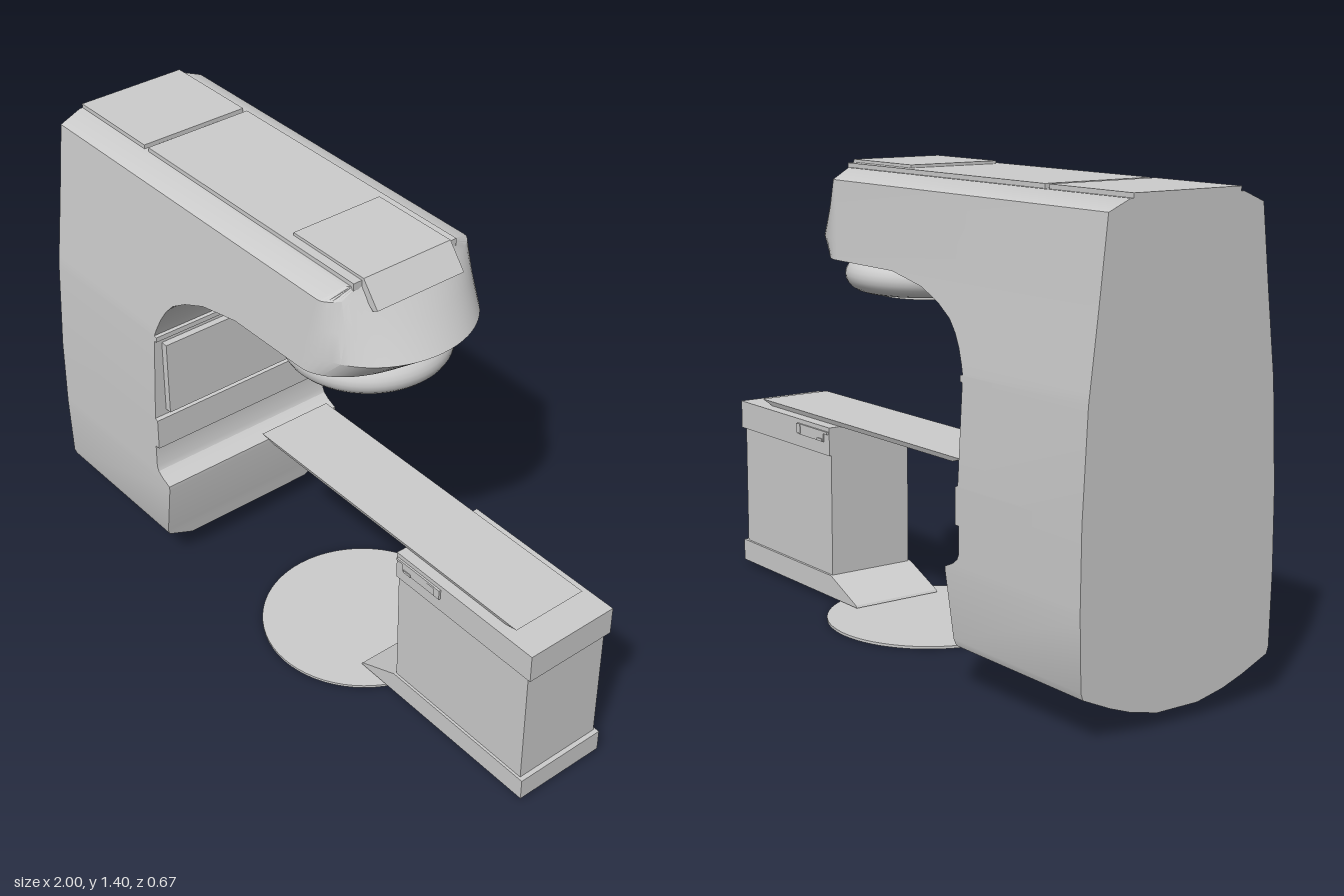
import * as THREE from 'three';
import { toCreasedNormals } from 'three/addons/utils/BufferGeometryUtils.js';

const grey = new THREE.MeshStandardMaterial({ color: 0xcccccc });

function add(group, name, geometry, x = 0, y = 0, z = 0) {
  const mesh = new THREE.Mesh(geometry, grey);
  mesh.name = name;
  mesh.position.set(x, y, z);
  group.add(mesh);
  return mesh;
}

// Box given by its limits on each axis
function box(group, name, [x0, x1], [y0, y1], [z0, z1]) {
  return add(group, name, new THREE.BoxGeometry(x1 - x0, y1 - y0, z1 - z0),
    (x0 + x1) / 2, (y0 + y1) / 2, (z0 + z1) / 2);
}

// Side profile in x, y extruded from z0 to z1
function slab(group, name, points, z0, z1) {
  const shape = new THREE.Shape(points.map(p => new THREE.Vector2(...p)));
  const geometry = new THREE.ExtrudeGeometry(shape, { depth: z1 - z0, bevelEnabled: false });
  return add(group, name, geometry, 0, 0, z0);
}

// Half width of the gantry at height y
const WIDTHS = [[0.04, 0.07], [0.06, 0.16], [0.085, 0.23], [0.125, 0.32], [0.145, 0.327], [0.35, 0.333],
  [0.58, 0.331], [0.88, 0.315], [1.12, 0.286], [1.35, 0.26], [1.38, 0.19]];
function halfWidth(y) {
  for (let i = 1; i < WIDTHS.length; i++) {
    const [y0, w0] = WIDTHS[i - 1], [y1, w1] = WIDTHS[i];
    if (y <= y1) return w0 + (w1 - w0) * (y - y0) / (y1 - y0);
  }
  return WIDTHS[WIDTHS.length - 1][1];
}

// Horizontal sections of column, arm and head: [height, front x, depth of rounded nose]
const SECTIONS = [
  [0.04, -0.61, 0], [0.06, -0.6, 0], [0.07, -0.48, 0], [0.085, -0.46, 0], [0.125, -0.455, 0],
  [0.145, -0.452, 0], [0.33, -0.42, 0], [0.345, -0.42, 0], [0.36, -0.455, 0], [0.375, -0.475, 0],
  [0.39, -0.482, 0], [0.47, -0.482, 0], [0.47, -0.465, 0], [0.575, -0.465, 0], [0.58, -0.476, 0],
  [0.86, -0.476, 0], [0.862, -0.465, 0], [0.878, -0.465, 0], [0.88, -0.476, 0], [0.91, -0.465, 0],
  [0.95, -0.447, 0], [0.985, -0.425, 0], [1.02, -0.393, 0], [1.055, -0.335, 0], [1.09, -0.25, 0],
  [1.105, -0.17, 0], [1.118, -0.1, 0], [1.12, 0.37, 0.18], [1.18, 0.45, 0.25],
  [1.265, 0.388, 0.17], [1.35, 0.325, 0.09], [1.38, 0.3, 0.03],
];

function gantryGeometry() {
  const ARC = 32, positions = [], index = [], n = ARC + 3;
  for (const [y, front, depth] of SECTIONS) {
    const w = halfWidth(y);
    positions.push(-1, y, -w);
    for (let k = 0; k <= ARC; k++) {
      const a = (k / ARC - 0.5) * Math.PI;
      positions.push(front - depth + depth * Math.cos(a), y, w * Math.sin(a));
    }
    positions.push(-1, y, w);
  }
  const last = (SECTIONS.length - 1) * n;
  for (let i = 0; i < SECTIONS.length - 1; i++) {
    for (let j = 0; j < n; j++) {
      const a = i * n + j, b = i * n + (j + 1) % n;
      index.push(a, a + n, b, b, a + n, b + n);
    }
  }
  // Bottom and top caps
  for (let j = 1; j < n - 1; j++) {
    index.push(0, j, j + 1);
    index.push(last, last + j + 1, last + j);
  }
  const geometry = new THREE.BufferGeometry();
  geometry.setAttribute('position', new THREE.Float32BufferAttribute(positions, 3));
  geometry.setIndex(index);
  return toCreasedNormals(geometry, 0.45);
}

function createGantry() {
  const gantry = new THREE.Group();
  gantry.name = 'gantry';
  add(gantry, 'gantryBody', gantryGeometry());
  box(gantry, 'columnPanel', [-0.48, -0.453], [0.597, 0.845], [-0.29, 0.29]);

  // Top plates with a groove between them
  box(gantry, 'rearTopPlate', [-1, -0.67], [1.37, 1.393], [-0.18, 0.18]);
  box(gantry, 'frontTopPlate', [-0.65, 0.29], [1.37, 1.393], [-0.18, 0.18]);
  slab(gantry, 'headCover', [[0, 1.37], [0.28, 1.37], [0.335, 1.318], [0.355, 1.328],
    [0.297, 1.402], [0, 1.402]], -0.152, 0.152);

  // Rounded collimator under the head
  const profile = [[0, 1.02], [0.165, 1.017]];
  for (let k = 0; k <= 12; k++) {
    const a = (k / 12 - 0.5) * Math.PI;
    profile.push([0.18 + 0.066 * Math.cos(a), 1.069 + 0.052 * Math.sin(a)]);
  }
  const lathe = new THREE.LatheGeometry(profile.map(p => new THREE.Vector2(...p)), 64);
  add(gantry, 'collimator', toCreasedNormals(lathe, 0.6), 0.135);
  add(gantry, 'collimatorFace', new THREE.CylinderGeometry(0.155, 0.155, 0.01, 48), 0.118, 1.014, 0);
  const beamWindow = add(gantry, 'beamWindow', new THREE.BoxGeometry(0.19, 0.006, 0.19), 0.118, 1.009, 0);
  beamWindow.rotation.y = 0.05;
  return gantry;
}

function createCouch() {
  const couch = new THREE.Group();
  couch.name = 'couch';
  const side = [-0.157, 0.148];
  box(couch, 'pedestal', [0.452, 0.985], [0.08, 0.47], [-0.149, 0.14]);
  box(couch, 'pedestalHead', [0.45, 1], [0.47, 0.56], side);
  slab(couch, 'pedestalFoot', [[0.3, 0.013], [1, 0.013], [1, 0.083], [0.45, 0.083], [0.305, 0.02]], ...side);

  // Tabletop with ends and sides bevelled toward the underside
  const top = new THREE.BoxGeometry(1.12, 0.016, 0.248);
  const p = top.attributes.position;
  for (let i = 0; i < p.count; i++) {
    if (p.getY(i) < 0) {
      p.setX(i, p.getX(i) * 0.91);
      p.setZ(i, p.getZ(i) * 0.95);
    }
  }
  top.computeVertexNormals();
  add(couch, 'tabletop', top, 0.35, 0.569, -0.003);
  box(couch, 'tabletopMount', [0.47, 0.85], [0.555, 0.565], [-0.11, 0.105]);

  // Control handles on both sides of the pedestal head
  for (const [z, s] of [[side[1], 1], [side[0], -1]]) {
    const out = d => [Math.min(z, z + s * d), Math.max(z, z + s * d)];
    box(couch, 'controlRail', [0.455, 0.62], [0.538, 0.546], out(0.006));
    box(couch, 'controlHandle', [0.48, 0.635], [0.511, 0.538], out(0.004));
    box(couch, 'controlGrip', [0.485, 0.515], [0.512, 0.52], out(0.007));
    box(couch, 'controlKnob', [0.615, 0.637], [0.515, 0.546], out(0.007));
  }
  return couch;
}

export function createModel() {
  const model = new THREE.Group();
  model.name = 'radiotherapyMachine';
  model.add(createGantry(), createCouch());
  add(model, 'floorTurntable', new THREE.CylinderGeometry(0.316, 0.316, 0.008, 64), 0.13, 0.004, 0);
  return model;
}
